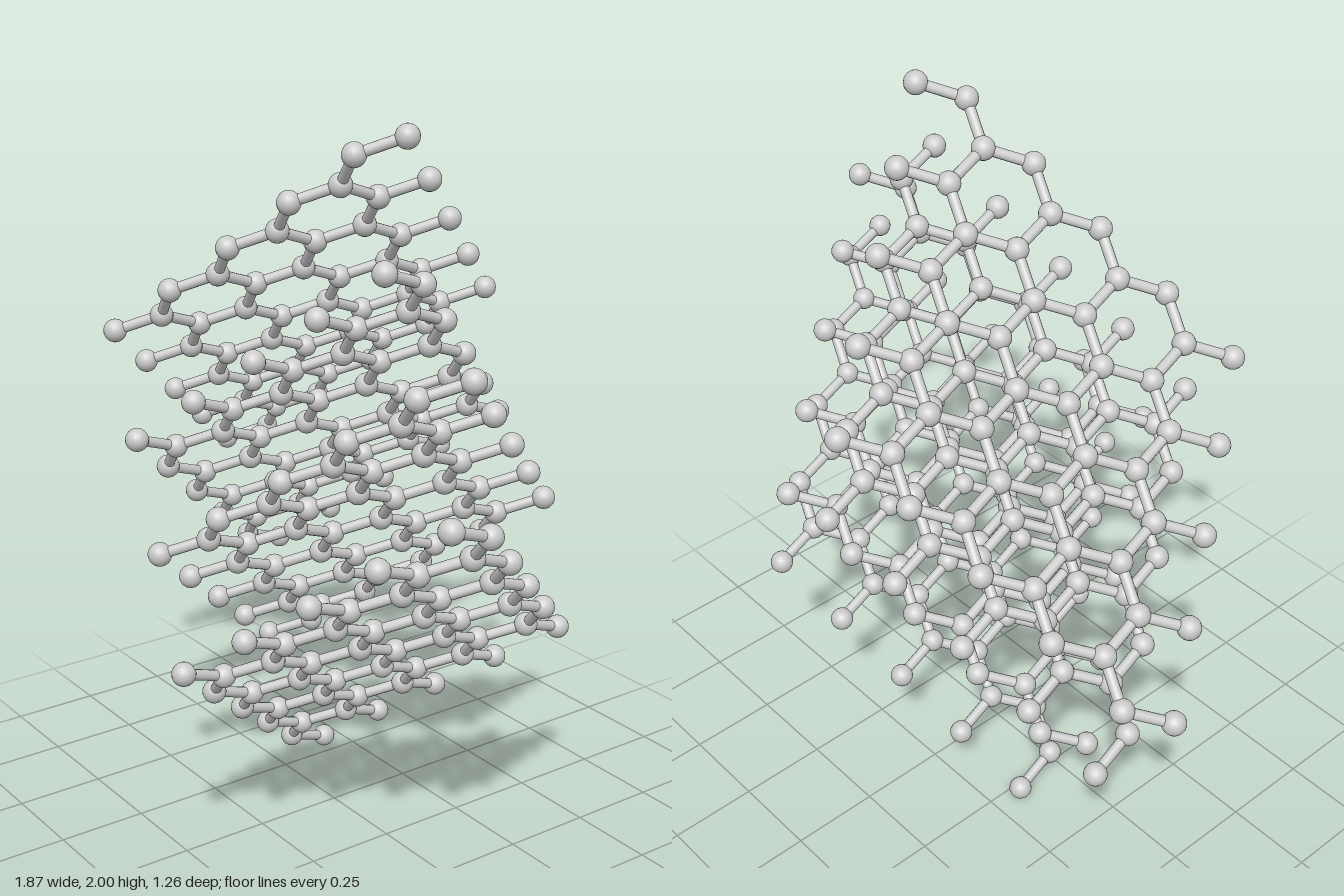
import * as THREE from 'three';

const ATOM_R = 0.032, BOND_R = 0.0145, CELLS = 5, LAYERS = 4;

// Lattice: two in-plane steps, one step per two sheets, and the first atom
const A = new THREE.Vector3(-0.113, -0.1387, -0.16);
const B = new THREE.Vector3(-0.181, -0.1387, 0.068);
const C = new THREE.Vector3(0.42, -0.489, 0.127);
const ORIGIN = new THREE.Vector3(0.356, 1.968, 0.0394);

const site = (a, b, c) => ORIGIN.clone()
  .addScaledVector(A, a).addScaledVector(B, b).addScaledVector(C, c);

// Two atoms per cell; every second sheet is shifted
const BASIS = [
  [[0, 0], [-1 / 3, 2 / 3]],
  [[1 / 3, 1 / 3], [-1 / 3, 2 / 3]],
];

export function createModel() {
  const model = new THREE.Group();
  model.name = 'layeredLattice';
  const material = new THREE.MeshStandardMaterial({ color: 0xcccccc });
  const ball = new THREE.SphereGeometry(ATOM_R, 18, 12);
  const rod = new THREE.CylinderGeometry(BOND_R, BOND_R, 1, 12, 1, true);
  const up = new THREE.Vector3(0, 1, 0);

  for (let k = 0; k < LAYERS; k++) {
    const sheet = new THREE.Group();
    sheet.name = `sheet${k + 1}`;
    model.add(sheet);

    // Atoms
    const atoms = [];
    for (let i = 0; i < CELLS; i++)
      for (let j = 0; j < CELLS; j++)
        for (const [u, v] of BASIS[k % 2]) atoms.push(site(i + u, j + v, k / 2));
    for (const p of atoms) {
      const atom = new THREE.Mesh(ball, material);
      atom.name = 'atom';
      atom.position.copy(p);
      sheet.add(atom);
    }

    // Bonds join nearest neighbours
    atoms.forEach((p, n) => {
      for (const q of atoms.slice(n + 1)) {
        const d = q.clone().sub(p), length = d.length();
        if (length > 0.17) continue;
        const bond = new THREE.Mesh(rod, material);
        bond.name = 'bond';
        bond.position.copy(p).addScaledVector(d, 0.5);
        bond.scale.y = length;
        bond.quaternion.setFromUnitVectors(up, d.normalize());
        sheet.add(bond);
      }
    });
  }
  return model;
}
